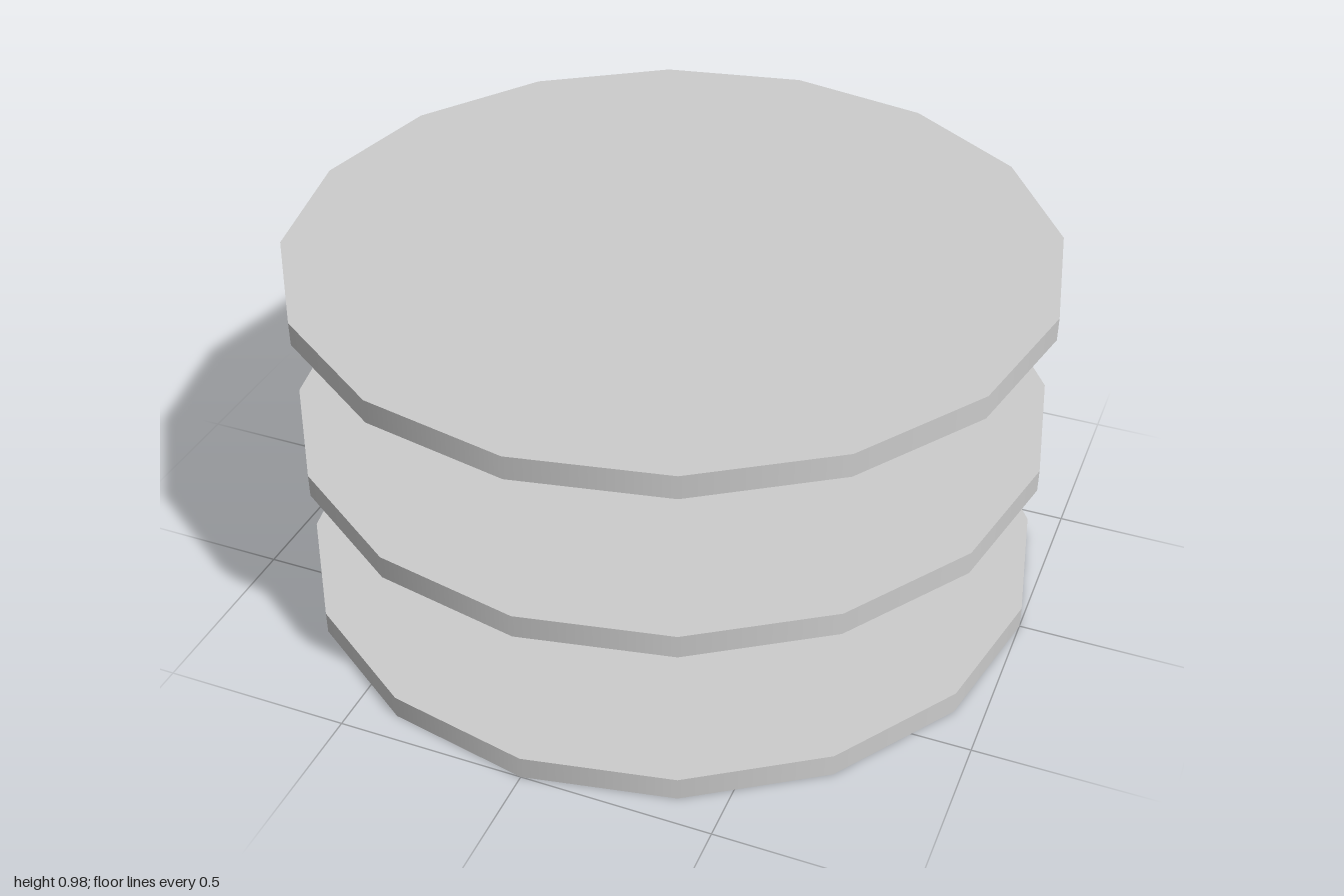
import * as THREE from 'three';

const THICKNESS = 0.062;
const SPACING = 0.457;

export function createModel() {
  const model = new THREE.Group();
  model.name = 'stackedDiscs';
  const material = new THREE.MeshStandardMaterial({ color: 0xcccccc });

  // Sixteen-sided disc with a smooth-shaded rim and flat caps
  const discGeometry = new THREE.CylinderGeometry(1, 1, THICKNESS, 16);

  // Three floating, evenly spaced discs
  ['lowerDisc', 'middleDisc', 'upperDisc'].forEach((name, i) => {
    const disc = new THREE.Mesh(discGeometry, material);
    disc.name = name;
    disc.position.y = THICKNESS / 2 + i * SPACING;
    model.add(disc);
  });

  return model;
}
